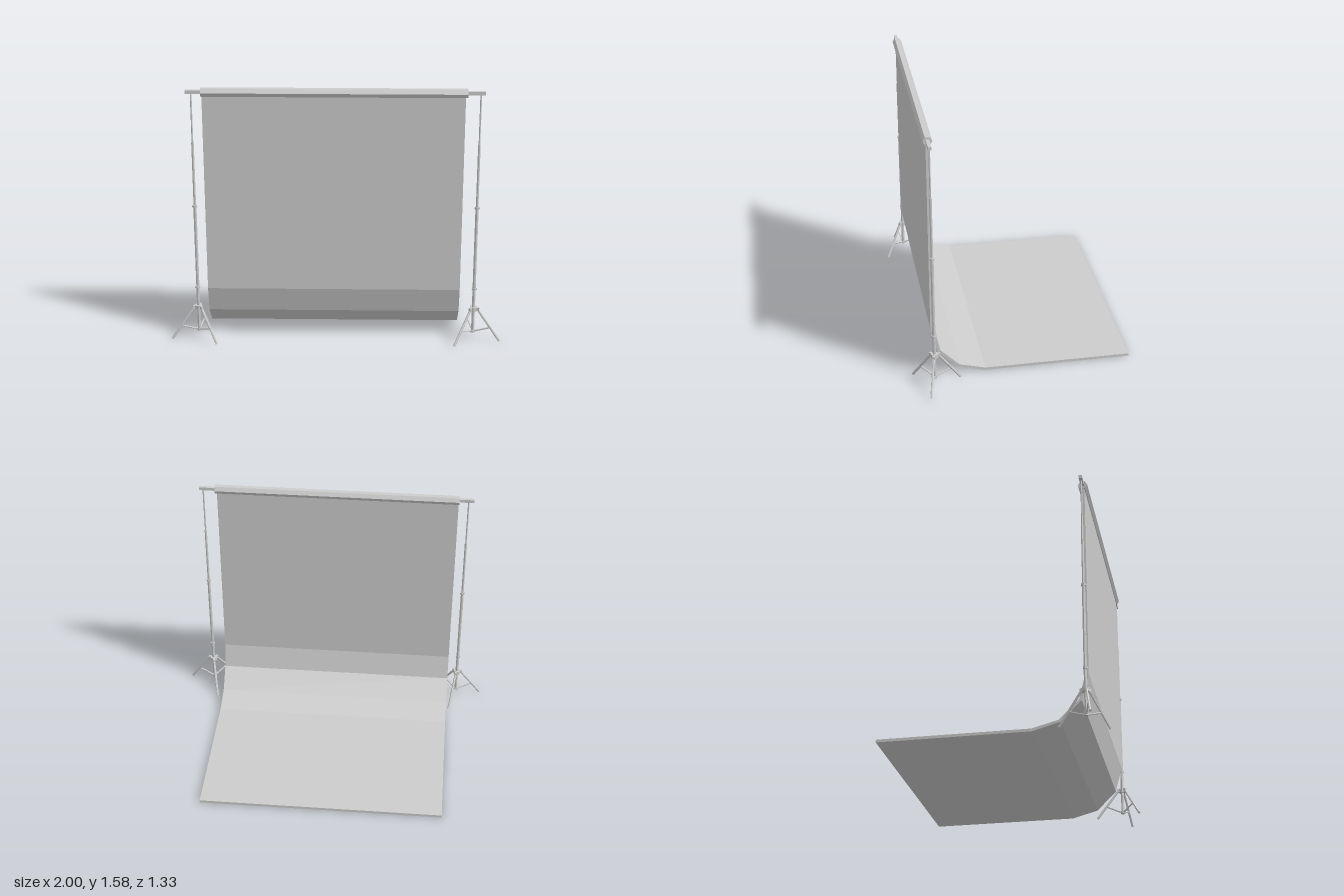
import * as THREE from 'three';

const grey = new THREE.MeshStandardMaterial({ color: 0xcccccc, flatShading: true });
const AXIS_Z = 0.54;
const BAR_Y = 1.562;

function add(parent, geometry, name) {
  const mesh = new THREE.Mesh(geometry, grey);
  mesh.name = name;
  parent.add(mesh);
  return mesh;
}

// Low-sided rod running between two points
function rod(parent, a, b, radius, sides, name) {
  const dir = b.clone().sub(a);
  const mesh = add(parent, new THREE.CylinderGeometry(radius, radius, dir.length(), sides), name);
  mesh.position.copy(a).add(b).multiplyScalar(0.5);
  mesh.quaternion.setFromUnitVectors(new THREE.Vector3(0, 1, 0), dir.normalize());
  return mesh;
}

// Telescopic pole on a three-legged base; the first leg points outwards (side = +1 or -1)
function makeStand(side) {
  const stand = new THREE.Group();
  stand.name = side > 0 ? 'leftStand' : 'rightStand';
  stand.position.set(side * 0.832, 0, AXIS_Z);
  const at = (r, angle, y) => new THREE.Vector3(side * r * Math.cos(angle), y, r * Math.sin(angle));
  const onAxis = (y) => new THREE.Vector3(0, y, 0);

  // Pole sections, each thinner than the one below
  for (const [y0, y1, r, name] of [
    [0.05, 0.86, 0.0095, 'lowerPole'],
    [0.86, 1.25, 0.0075, 'middlePole'],
    [1.25, 1.555, 0.005, 'upperPole'],
  ]) rod(stand, onAxis(y0), onAxis(y1), r, 8, name);

  // Locking collars with a clamp knob, leg hub and brace hub
  for (const y of [0.335, 0.857]) {
    rod(stand, onAxis(y - 0.007), onAxis(y + 0.007), 0.014, 8, 'collar');
    rod(stand, new THREE.Vector3(0, y, 0), new THREE.Vector3(side * 0.018, y, 0), 0.005, 6, 'clampKnob');
  }
  rod(stand, onAxis(0.19), onAxis(0.215), 0.022, 8, 'legHub');
  rod(stand, onAxis(0.047), onAxis(0.063), 0.014, 8, 'braceHub');

  // Legs and their braces
  for (let i = 0; i < 3; i++) {
    const angle = THREE.MathUtils.degToRad(15 + i * 120);
    rod(stand, at(0.022, angle, 0.207), at(0.166, angle, 0.008), 0.0075, 6, 'leg');
    rod(stand, at(0.008, angle, 0.055), at(0.105, angle, 0.09), 0.005, 6, 'brace');
    const lug = add(stand, new THREE.BoxGeometry(0.022, 0.022, 0.014), 'legLug');
    lug.position.copy(at(0.024, angle, 0.203));
    lug.rotation.y = -Math.atan2(Math.sin(angle), side * Math.cos(angle));
  }
  return stand;
}

// Backdrop sheet: one folded profile swept across the width
function makeSheet() {
  const outer = [[0.55, 1.55], [0.55, 0.33], [0.508, 0.17], [0.386, 0.049], [0.225, 0.005], [-0.667, 0.005]];
  const inner = [[-0.667, 0.022], [0.222, 0.022], [0.378, 0.063], [0.493, 0.178], [0.532, 0.332], [0.532, 1.55]];
  const profile = new THREE.Shape([...outer, ...inner].map(([z, y]) => new THREE.Vector2(-z, y)));
  const width = 1.515;
  const geometry = new THREE.ExtrudeGeometry(profile, { depth: width, bevelEnabled: false });
  geometry.rotateY(Math.PI / 2);
  geometry.translate(-0.77, 0, 0);
  return geometry;
}

export function createModel() {
  const model = new THREE.Group();
  model.name = 'backdropStand';

  model.add(makeStand(1), makeStand(-1));
  add(model, makeSheet(), 'backdropSheet');

  // Six-sided roll of sheet around the crossbar
  const roll = new THREE.CylinderGeometry(0.028, 0.028, 1.532, 6);
  roll.rotateZ(Math.PI / 2);
  add(model, roll, 'backdropRoll').position.set(-0.009, BAR_Y - 0.002, AXIS_Z);

  // Crossbar
  add(model, new THREE.BoxGeometry(1.722, 0.02, 0.02), 'crossbar').position.set(-0.004, BAR_Y, AXIS_Z);
  return model;
}
